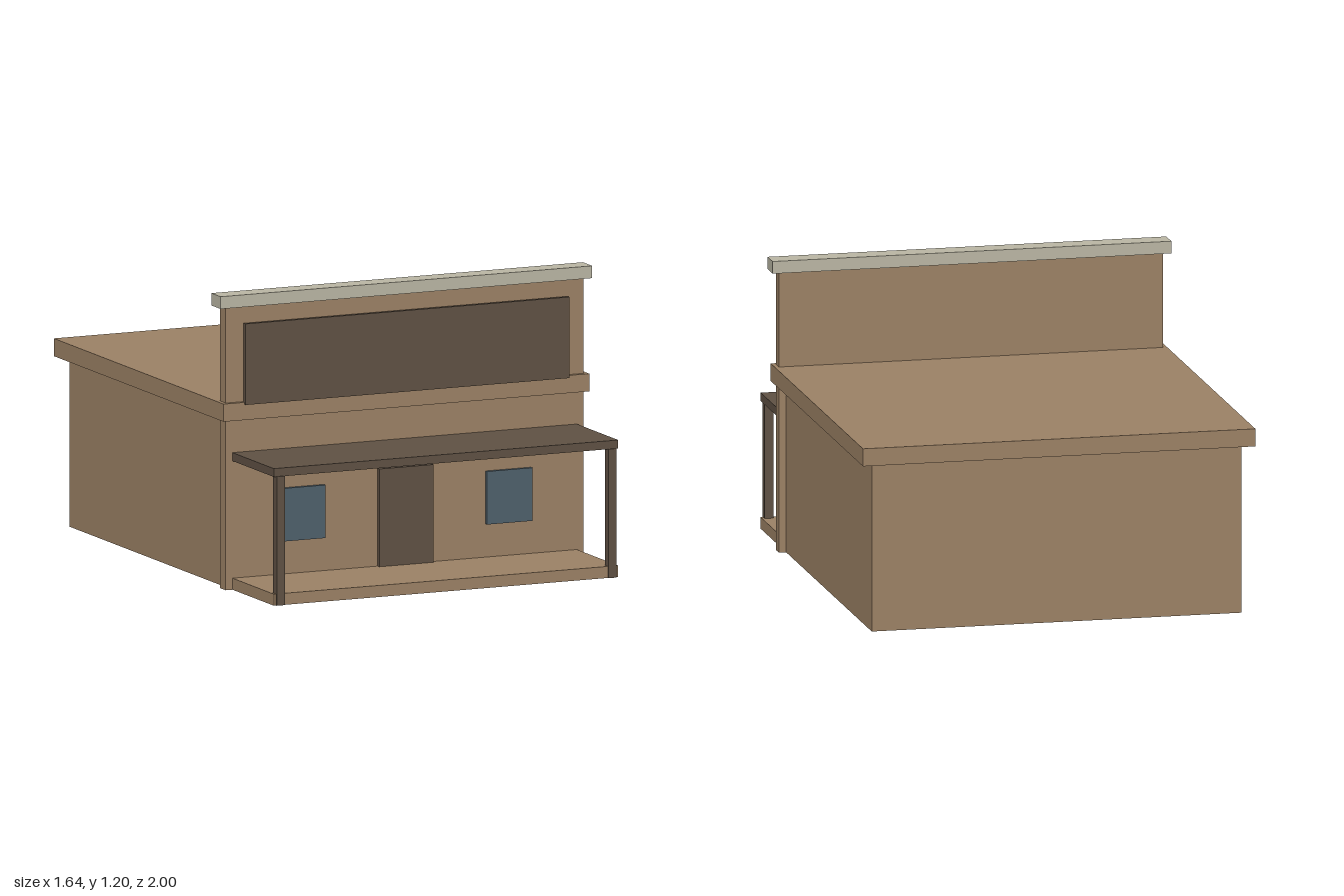
import * as THREE from 'three';

const material = (name, color) => {
  const m = new THREE.MeshStandardMaterial({ color });
  m.name = name;
  return m;
};

export function createModel() {
  const model = new THREE.Group();
  model.name = 'storefront';
  const wall = material('tanWall', 0x9a8064);
  const timber = material('darkTimber', 0x5e5043);
  const stone = material('paleStone', 0xb8b4a2);
  const glass = material('blueGlass', 0x4e5f6a);

  // Box given by its extents along each axis
  const box = (name, mat, [x0, x1], [y0, y1], [z0, z1]) => {
    const mesh = new THREE.Mesh(new THREE.BoxGeometry(x1 - x0, y1 - y0, z1 - z0), mat);
    mesh.position.set((x0 + x1) / 2, (y0 + y1) / 2, (z0 + z1) / 2);
    mesh.name = name;
    model.add(mesh);
  };

  // Main building and overhanging roof slab
  box('body', wall, [-0.76, 0.76], [0, 0.69], [-0.953, 0.57]);
  box('roof', wall, [-0.807, 0.807], [0.69, 0.762], [-1, 0.617]);

  // Tall false front with cap and blank sign board
  box('falseFront', wall, [-0.79, 0.79], [0, 1.15], [0.545, 0.6]);
  box('frontCap', stone, [-0.82, 0.82], [1.15, 1.2], [0.528, 0.617]);
  box('signBoard', timber, [-0.715, 0.715], [0.753, 1.083], [0.61, 0.627]);

  // Door, windows and porch posts
  box('door', timber, [-0.12, 0.12], [0.047, 0.445], [0.595, 0.617]);
  for (const [side, s] of [['left', 1], ['right', -1]]) {
    const span = (a, b) => (s > 0 ? [a, b] : [-b, -a]);
    box(side + 'Window', glass, span(0.357, 0.557), [0.182, 0.398], [0.595, 0.615]);
    box(side + 'Post', timber, span(0.714, 0.75), [0, 0.525], [0.966, 1]);
  }

  // Porch deck and canopy
  box('porchDeck', wall, [-0.76, 0.76], [0, 0.047], [0.6, 0.994]);
  box('porchCanopy', timber, [-0.76, 0.76], [0.524, 0.558], [0.6, 0.994]);

  return model;
}
